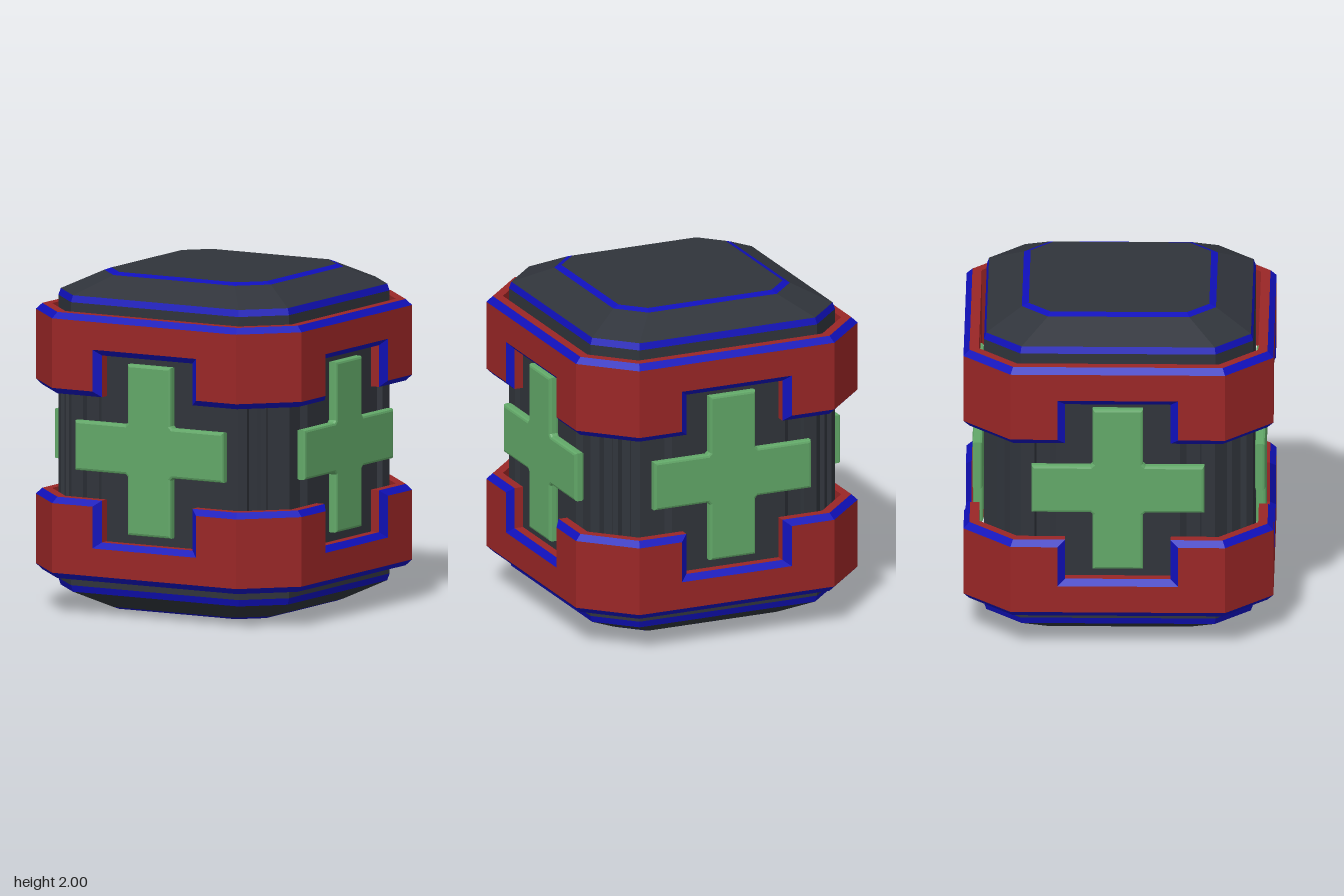
import * as THREE from 'three';

const paint = (color) => new THREE.MeshStandardMaterial({ color, flatShading: true });
const dark = paint(0x30343b);
const red = paint(0x9a2626);
const blue = paint(0x1010bb);
const green = paint(0x62a868);

// Repeats the points of the front side around all four sides, giving a closed loop
function ring(points) {
  const loop = [];
  for (let side = 0; side < 4; side++) {
    const c = Math.round(Math.cos(side * Math.PI / 2));
    const s = Math.round(Math.sin(side * Math.PI / 2));
    for (const [x, y, z] of points) loop.push(new THREE.Vector3(x * c + z * s, y, z * c - x * s));
  }
  return loop;
}

// Chamfered square loop: d = half width, c = half length of the flat side
const octagon = (d, c, y) => ring([[-c, y, d], [c, y, d]]);

// Surface between an upper and a lower loop, facing outwards
function strip(name, upper, lower, material) {
  const pos = [];
  const tri = (a, b, c) => {
    if (new THREE.Triangle(a, b, c).getArea() > 1e-7) for (const p of [a, b, c]) pos.push(p.x, p.y, p.z);
  };
  upper.forEach((a, i) => {
    const j = (i + 1) % upper.length;
    tri(a, lower[i], lower[j]);
    tri(a, lower[j], upper[j]);
  });
  const geo = new THREE.BufferGeometry();
  geo.setAttribute('position', new THREE.Float32BufferAttribute(pos, 3));
  geo.computeVertexNormals();
  const mesh = new THREE.Mesh(geo, material);
  mesh.name = name;
  return mesh;
}

// Stacked strips through a list of loops
function loft(name, loops, parts) {
  const group = new THREE.Group();
  group.name = name;
  parts.forEach(([part, material], i) => group.add(strip(part, loops[i], loops[i + 1], material)));
  return group;
}

// Grooved outline of the middle of the body: one flat side and the corner after it
function groovedLoop(y) {
  const d = 0.79, c = 0.57, depth = 0.03;
  const right = [[0.365, d], [0.4, d - depth], [0.48, d - depth], [0.49, d], [c, d]];
  const left = right.map(([x, z]) => [-x, z]).reverse();
  const n = depth * Math.SQRT1_2;
  const corner = [[0.18, 0], [0.24, 1], [0.4, 1], [0.44, 0], [0.56, 0], [0.6, 1], [0.76, 1], [0.82, 0]]
    .map(([t, in_]) => [c + (d - c) * t - n * in_, d - (d - c) * t - n * in_]);
  return ring([...left, ...right, ...corner].map(([x, z]) => [x, y, z]));
}

// Bevelled end of the body
function makeCap() {
  return loft('cap', [
    octagon(0, 0, 2), octagon(0.53, 0.4, 2), octagon(0.57, 0.415, 1.985),
    octagon(0.777, 0.567, 1.88), octagon(0.79, 0.573, 1.84), octagon(0.79, 0.57, 1.6), octagon(0.74, 0.54, 1.6),
  ], [
    ['capFace', dark], ['capFaceTrim', blue], ['capSlope', dark],
    ['capEdgeTrim', blue], ['capWall', dark], ['capUnderside', dark],
  ]);
}

// Armour band whose lower edge steps up in a notch on every side
function makeBand() {
  const level = (d, c, y) => ring([-c, -0.355, -0.355, 0.355, 0.355, c].map((x) => [x, y, d]));
  const notched = (d, c, u, low, high) => ring([
    [-c, low, d], [-u, low, d], [-u, high, d], [u, high, d], [u, low, d], [c, low, d],
  ]);
  const innerTop = level(0.82, 0.593, 1.79);
  return loft('band', [
    innerTop, level(0.875, 0.615, 1.79), level(0.91, 0.63, 1.755),
    notched(0.91, 0.63, 0.355, 1.342, 1.59),
    notched(0.875, 0.615, 0.31, 1.307, 1.555),
    notched(0.82, 0.593, 0.31, 1.307, 1.555),
    innerTop,
  ], [
    ['bandRim', red], ['bandOuterTrim', blue], ['bandWall', red],
    ['bandNotchTrim', blue], ['bandLip', red], ['bandInnerWall', red],
  ]);
}

// Cross plate with softened edges and small fillets in the inner corners
function makeCross() {
  const b = 0.015, long = 0.507 - b, w = 0.148 - b, f = 0.022;
  const quarter = [[long, -w], [long, w], [w + f, w], [w, w + f]];
  const pts = [];
  for (let i = 0; i < 4; i++) {
    const c = Math.round(Math.cos(i * Math.PI / 2)), s = Math.round(Math.sin(i * Math.PI / 2));
    for (const [x, y] of quarter) pts.push(new THREE.Vector2(x * c - y * s, x * s + y * c));
  }
  return new THREE.ExtrudeGeometry(new THREE.Shape(pts), {
    depth: 0.03, bevelEnabled: true, bevelSize: b, bevelThickness: b, bevelSegments: 2,
  }).translate(0, 1.005, 0.8 + b);
}

export function createModel() {
  const model = new THREE.Group();
  model.name = 'crate';

  // Grooved core
  model.add(strip('core', groovedLoop(1.6), groovedLoop(0.4), dark));

  // Upper and lower halves, the lower one turned over about the middle
  for (const [name, turn] of [['upperHalf', 0], ['lowerHalf', Math.PI]]) {
    const half = new THREE.Group();
    half.name = name;
    half.add(makeCap(), makeBand());
    half.rotation.x = turn;
    half.position.y = turn ? 2 : 0;
    model.add(half);
  }

  // Crosses on the four sides
  const crossGeometry = makeCross();
  ['front', 'left', 'back', 'right'].forEach((side, i) => {
    const cross = new THREE.Mesh(crossGeometry, green);
    cross.name = side + 'Cross';
    cross.rotation.y = i * Math.PI / 2;
    model.add(cross);
  });
  return model;
}
